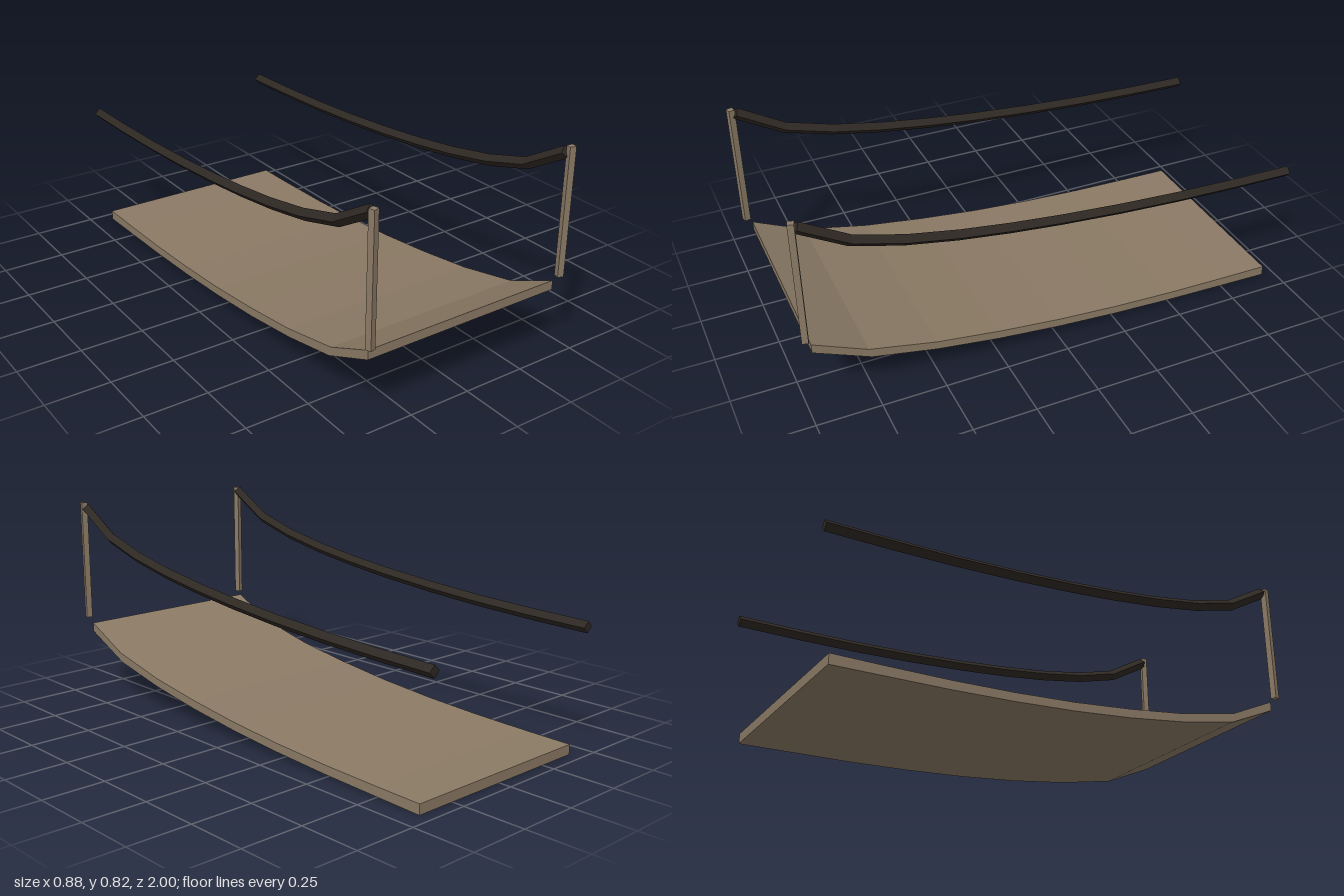
import * as THREE from 'three';

const wood = new THREE.MeshStandardMaterial({ color: 0x8b7a65 });
wood.name = 'weathered wood';
const rope = new THREE.MeshStandardMaterial({ color: 0x2e2823 });
rope.name = 'dark rail';

// Sweeps a section of [x, offset] corners along a [z, y] path, with flat faces and end caps.
// Sections run anticlockwise seen from +z; the path runs from front to back.
function sweep(path, section) {
  const rings = path.map(([z, y], i) => {
    const a = path[Math.max(i - 1, 0)], b = path[Math.min(i + 1, path.length - 1)];
    const dz = b[0] - a[0], dy = b[1] - a[1], l = Math.hypot(dz, dy);
    const nz = dy / l, ny = -dz / l; // upward normal in the side plane
    return section.map(([x, o]) => [x, y + ny * o, z + nz * o]);
  });
  const pos = [];
  const quad = (a, b, c, d) => pos.push(...a, ...b, ...c, ...a, ...c, ...d);
  for (let i = 0; i < rings.length - 1; i++) {
    for (let j = 0; j < 4; j++) {
      const k = (j + 1) % 4, r = rings[i], s = rings[i + 1];
      quad(r[j], s[j], s[k], r[k]);
    }
  }
  quad(...rings[0]);
  quad(...[...rings[rings.length - 1]].reverse());
  const g = new THREE.BufferGeometry();
  g.setAttribute('position', new THREE.Float32BufferAttribute(pos, 3));
  g.computeVertexNormals();
  return g;
}

export function createModel() {
  const model = new THREE.Group();
  const add = (geometry, material, name) => {
    const mesh = new THREE.Mesh(geometry, material);
    mesh.name = name;
    model.add(mesh);
    return mesh;
  };

  // Sagging deck slab, extruded across its width
  const top = [[0.965, 0.295], [0.76, 0.201], [0.5, 0.144], [0.25, 0.108], [0, 0.08], [-0.25, 0.061], [-0.5, 0.049], [-0.75, 0.043], [-0.95, 0.04]];
  const bottom = [[0.965, 0.258], [0.75, 0.162], [0.5, 0.11], [0.25, 0.073], [0, 0.046], [-0.25, 0.027], [-0.5, 0.014], [-0.75, 0.006], [-0.95, 0]];
  const outline = [...top, ...bottom.reverse()].map(([z, y]) => new THREE.Vector2(-z, y));
  const deck = new THREE.ExtrudeGeometry(new THREE.Shape(outline), { depth: 0.828, bevelEnabled: false });
  deck.translate(0, 0, -0.414).rotateY(Math.PI / 2);
  add(deck, wood, 'deck');

  // Diamond-section handrails and end posts
  const railPath = [[0.97, 0.795], [0.79, 0.69], [0.6, 0.636], [0.4, 0.598], [0.2, 0.57], [0, 0.548], [-0.25, 0.527], [-0.5, 0.512], [-0.75, 0.503], [-1, 0.498]];
  const r = 0.023;
  const diamond = [[r, 0], [0, r], [-r, 0], [0, -r]];
  for (const side of [-1, 1]) {
    const label = side > 0 ? 'left' : 'right';
    add(sweep(railPath, diamond), rope, label + 'Handrail').position.x = side * 0.4145;

    const post = add(new THREE.BoxGeometry(0.024, 0.5, 0.024), wood, label + 'Post');
    post.position.set(side * 0.421, side > 0 ? 0.571 : 0.561, 0.985);
    post.rotation.y = -side * 0.28;
  }
  return model;
}
